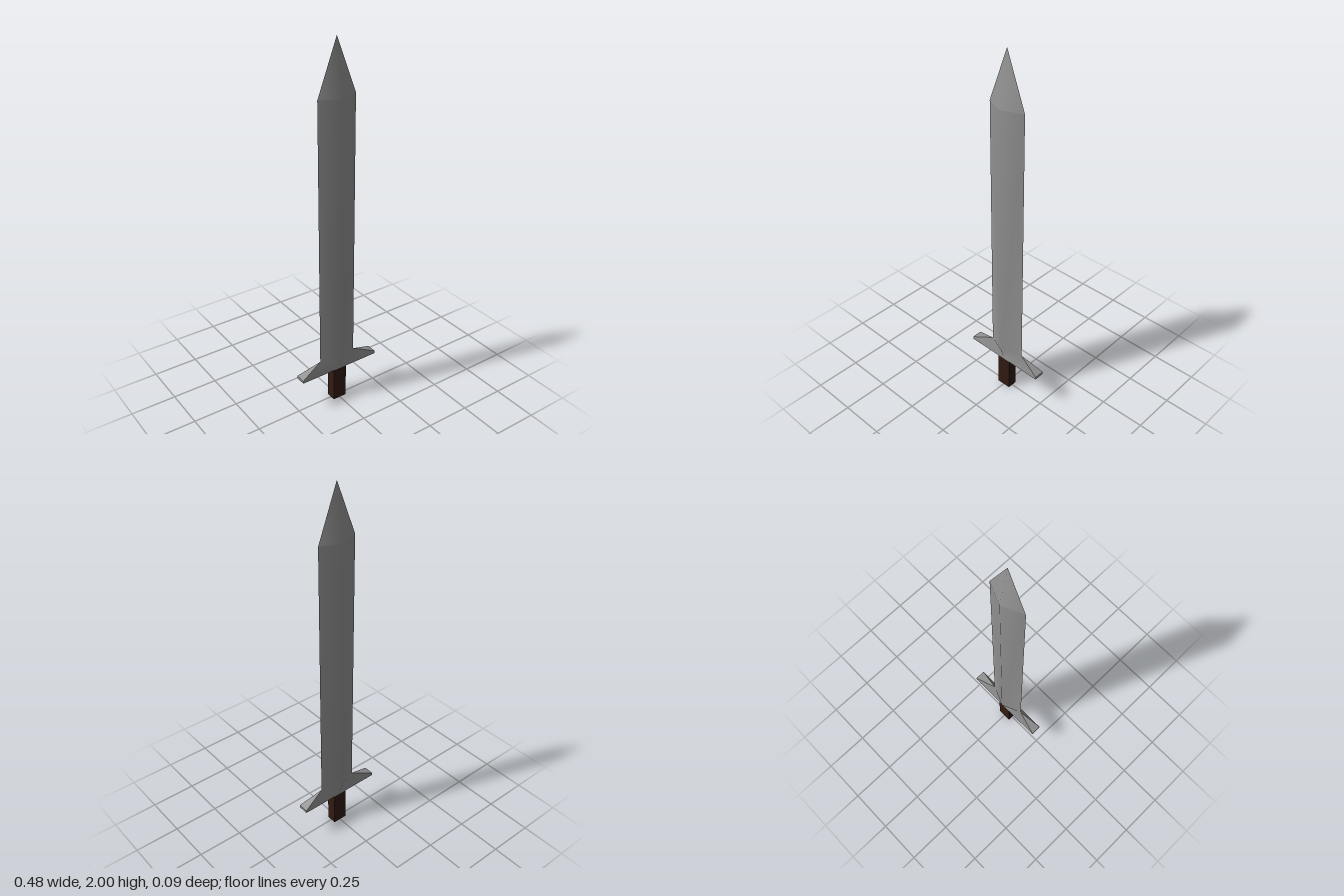
import * as THREE from 'three';
import { toCreasedNormals } from 'three/addons/utils/BufferGeometryUtils.js';

const W = 0.109, D = 0.047;               // blade half width, half thickness
const GW = 0.238, GD = 0.029;             // guard half width, half depth
const BASE = 0.197, RIM = 0.212, LOW = 0.266, HIGH = 1.717;

// Mirrors the triangles of the +x, +z quarter into all four quarters.
function quarteredMesh(name, triangles, material) {
  const points = [];
  for (const sx of [1, -1]) for (const sz of [1, -1]) {
    for (const [a, b, c] of triangles) {
      const corners = sx * sz > 0 ? [a, b, c] : [a, c, b];
      for (const [x, y, z] of corners) points.push(x * sx, y, z * sz);
    }
  }
  const geometry = new THREE.BufferGeometry();
  geometry.setAttribute('position', new THREE.Float32BufferAttribute(points, 3));
  const mesh = new THREE.Mesh(toCreasedNormals(geometry, THREE.MathUtils.degToRad(58)), material);
  mesh.name = name;
  return mesh;
}

export function createModel() {
  const group = new THREE.Group();
  group.name = 'sword';
  const steel = new THREE.MeshStandardMaterial({ color: 0x929292 });
  const wood = new THREE.MeshStandardMaterial({ color: 0x311b12 });

  // Blade: sharp side edge and central ridge
  const edgeLow = [W, LOW, 0], edgeHigh = [W, HIGH, 0];
  const ridgeLow = [0, LOW, D], ridgeHigh = [0, HIGH, D];
  // Guard: middle, corner and end points of the rim, top and bottom
  const [mid, midBase] = [RIM, BASE].map((y) => [0, y, GD]);
  const [corner, cornerBase] = [RIM, BASE].map((y) => [GW, y, GD]);
  const [end, endBase] = [RIM, BASE].map((y) => [GW, y, 0]);
  const centreBase = [0, BASE, 0];

  group.add(quarteredMesh('bladeAndGuard', [
    // Long blade side
    [ridgeLow, edgeLow, edgeHigh], [ridgeLow, edgeHigh, ridgeHigh],
    // Guard slope, and the taper from the ridge down to the guard
    [mid, corner, edgeLow], [mid, edgeLow, ridgeLow],
    // Sloping top of the guard arm
    [corner, end, edgeLow],
    // Rim
    [midBase, cornerBase, corner], [midBase, corner, mid],
    [cornerBase, endBase, end], [cornerBase, end, corner],
    // Underside
    [centreBase, endBase, cornerBase], [centreBase, cornerBase, midBase],
  ], steel));

  // Pointed tip, with a hard line where it meets the blade
  group.add(quarteredMesh('tip', [[ridgeHigh, edgeHigh, [0, 2, 0]]], steel));

  // Square grip
  const grip = new THREE.Mesh(new THREE.BoxGeometry(0.08, 0.2, 0.056), wood);
  grip.name = 'grip';
  grip.position.y = 0.1;
  group.add(grip);
  return group;
}
